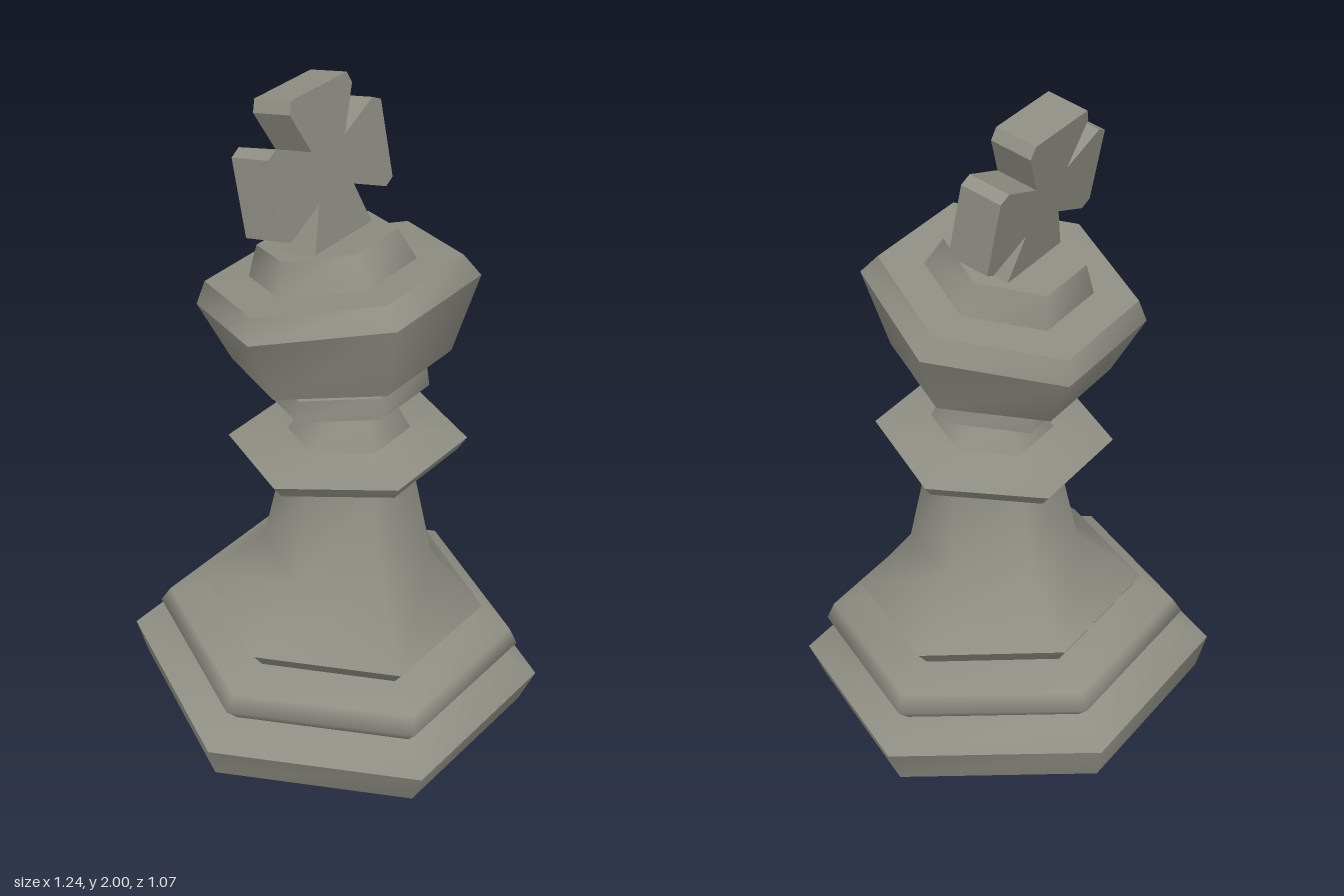
import * as THREE from 'three';

const SIN60 = Math.sin(Math.PI / 3);

// A ring is [front z, front y, back z, back y]: a tilted hexagon with corners on the x axis.
function ringPoints([fz, fy, bz, by]) {
  const r = Math.hypot(fz - bz, fy - by) / 2 / SIN60;
  const points = [];
  for (let k = 0; k < 6; k++) {
    const a = k * Math.PI / 3, s = Math.sin(a) / SIN60 / 2;
    points.push([r * Math.cos(a), (fy + by) / 2 + (fy - by) * s, (fz + bz) / 2 + (fz - bz) * s]);
  }
  return points;
}

// Smooth skin through a run of rings; separate skins meet in a crease.
function skin(rings) {
  const positions = rings.flatMap(ringPoints).flat(), index = [];
  for (let i = 0; i < rings.length - 1; i++) {
    for (let k = 0; k < 6; k++) {
      const a = i * 6 + k, b = i * 6 + (k + 1) % 6;
      index.push(a, a + 6, b, b, a + 6, b + 6);
    }
  }
  return build(positions, index);
}

// Flat hexagon closing either end.
function cap(ring, up) {
  const index = [];
  for (let k = 1; k < 5; k++) index.push(0, up ? k + 1 : k, up ? k : k + 1);
  return build(ringPoints(ring).flat(), index);
}

function build(positions, index) {
  const g = new THREE.BufferGeometry();
  g.setAttribute('position', new THREE.Float32BufferAttribute(positions, 3));
  g.setIndex(index);
  g.computeVertexNormals();
  return g;
}

export function createModel() {
  const group = new THREE.Group();
  const stone = new THREE.MeshStandardMaterial({ color: 0x8f8e84 });
  stone.name = 'warm grey stone';
  const add = (name, geometry) => {
    const mesh = new THREE.Mesh(geometry, stone);
    mesh.name = name;
    group.add(mesh);
    return mesh;
  };

  // Rings from the foot up, following the bent axis
  const foot = [0.49, 0.005, -0.51, 0.10], footTop = [0.535, 0.11, -0.535, 0.21];
  const step = [0.447, 0.18, -0.42, 0.258];
  const bulgeLow = [0.484, 0.225, -0.46, 0.305], bulgeHigh = [0.465, 0.278, -0.433, 0.35];
  const groove = [0.357, 0.315, -0.315, 0.378];
  const skirt = [0.392, 0.36, -0.346, 0.43], waist = [0.262, 0.548, -0.173, 0.569];
  const neck = [0.209, 0.856, -0.12, 0.844];
  const collarLow = [0.32, 0.918, -0.228, 0.883], collarTop = [0.343, 0.958, -0.257, 0.922];
  const throat = [0.203, 0.985, -0.105, 0.96], throatTop = [0.152, 1.10, -0.03, 1.08];
  const bandLow = [0.245, 1.125, -0.16, 1.075], bandTop = [0.238, 1.19, -0.155, 1.14];
  const headNeck = [0.215, 1.195, -0.135, 1.15], headLow = [0.29, 1.235, -0.25, 1.172];
  const headWide = [0.352, 1.474, -0.336, 1.341], headTop = [0.304, 1.53, -0.32, 1.41];
  const crownLow = [0.193, 1.512, -0.212, 1.432], crownTop = [0.14, 1.597, -0.198, 1.526];

  // Foot
  add('footBottom', cap(foot, false));
  add('footSide', skin([foot, footTop]));
  add('footTop', skin([footTop, step]));
  add('footBulge', skin([step, bulgeLow, bulgeHigh, groove]));

  // Body
  add('skirtEdge', skin([groove, skirt]));
  add('body', skin([skirt, waist, neck]));

  // Collar and band
  add('collarUnderside', skin([neck, collarLow]));
  add('collarEdge', skin([collarLow, collarTop]));
  add('collarTop', skin([collarTop, throat]));
  add('throat', skin([throat, throatTop]));
  add('bandUnderside', skin([throatTop, bandLow]));
  add('band', skin([bandLow, bandTop]));
  add('bandTop', skin([bandTop, headNeck]));

  // Head
  add('headUnderside', skin([headNeck, headLow]));
  add('headSide', skin([headLow, headWide]));
  add('headBevel', skin([headWide, headTop]));
  add('headTop', skin([headTop, crownLow]));
  add('crownSide', skin([crownLow, crownTop]));
  add('crownTop', cap(crownTop, true));

  // Cross with flared arms, leaning back
  const half = [[0.125, 0.23], [0.14, 0.195], [0.075, 0.07], [0.22, 0.127], [0.255, 0.11],
    [0.255, -0.118], [0.22, -0.134], [0.08, -0.075], [0.135, -0.215]];
  const mirrored = half.map(([x, y]) => [-x, y]).reverse();
  const outline = new THREE.Shape([...half, ...mirrored].map(([x, y]) => new THREE.Vector2(x, y)));
  const crossGeometry = new THREE.ExtrudeGeometry(outline, { depth: 0.125, bevelEnabled: false });
  crossGeometry.translate(0, 0, -0.0625);
  const cross = add('cross', crossGeometry);
  cross.rotation.x = -0.19;
  cross.position.set(0, 1.763, -0.07);

  return group;
}
